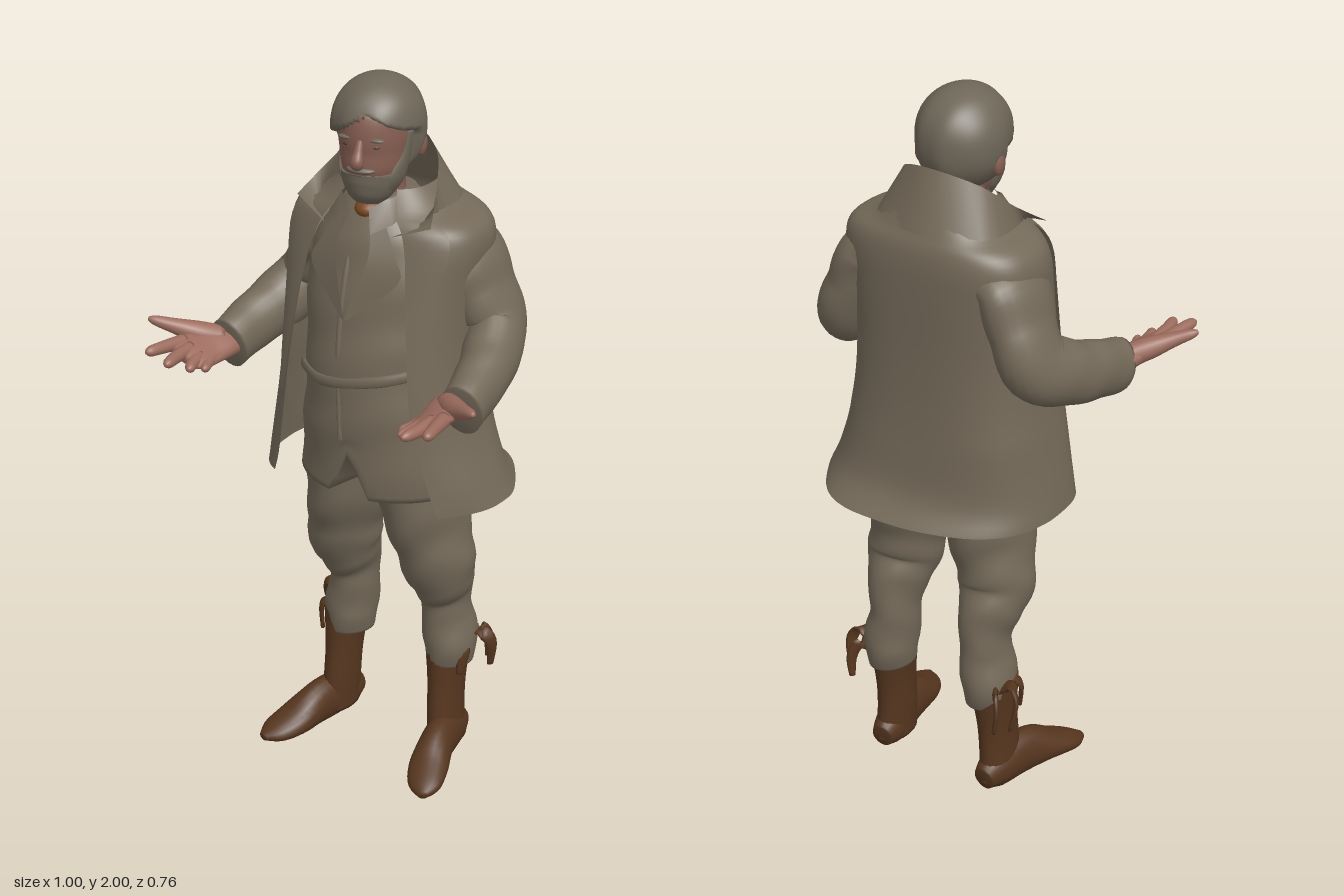
import * as THREE from 'three';

const mat = (name, color, side = THREE.FrontSide) =>
  Object.assign(new THREE.MeshStandardMaterial({ color, side }), { name });
const power = (v, p) => Math.sign(v) * Math.abs(v) ** p;
const span = (a, b, n, fn) => Array.from({ length: n + 1 }, (_, i) => fn(a + (b - a) * i / n));

// Smooth interpolation through the rows of a small table, t from 0 to 1
function sample(rows, t) {
  const n = rows.length - 1;
  const i = Math.min(Math.floor(t * n), n - 1), f = t * n - i;
  const at = k => rows[Math.max(0, Math.min(n, k))];
  return rows[0].map((_, c) => {
    const [a, b, d, e] = [at(i - 1)[c], at(i)[c], at(i + 1)[c], at(i + 2)[c]];
    return b + 0.5 * f * (d - a + f * (2 * a - 5 * b + 4 * d - e + f * (3 * (b - d) + e - a)));
  });
}

// Surface through rings of points; closed rings also get end caps
function skin(rings, closed) {
  const n = rings[0].length, pos = rings.flat(2), index = [];
  for (let i = 0; i < rings.length - 1; i++) {
    for (let j = 0; j < (closed ? n : n - 1); j++) {
      const a = i * n + j, b = i * n + (j + 1) % n;
      index.push(a, b, b + n, a, b + n, a + n);
    }
  }
  for (const r of closed ? [0, rings.length - 1] : []) {
    const c = pos.length / 3;
    for (let k = 0; k < 3; k++) pos.push(rings[r].reduce((s, p) => s + p[k], 0) / n);
    for (let j = 0; j < n; j++) {
      const a = r * n + j, b = r * n + (j + 1) % n;
      index.push(c, ...(r ? [a, b] : [b, a]));
    }
  }
  const g = new THREE.BufferGeometry();
  g.setAttribute('position', new THREE.Float32BufferAttribute(pos, 3));
  g.setIndex(index);
  g.computeVertexNormals();
  return g;
}

// Tapered body along a path: rows are [x, y, z, sideRadius, otherRadius]
function limb(rows, { side = [1, 0, 0], steps = 20, n = 18, fold = 0, flip = null, edit = null } = {}) {
  let path = rows.map(r => [r[0], r[1], r[2], r[3], r[4] ?? r[3]]);
  const s0 = new THREE.Vector3(...side);
  if (flip !== null) {
    path = path.map(([x, ...rest]) => [flip - x, ...rest]);
    s0.x *= -1;
  }
  return skin(span(0, 1, steps, t => {
    const p = sample(path, t);
    const a = sample(path, Math.max(0, t - 0.02)), b = sample(path, Math.min(1, t + 0.02));
    const dir = new THREE.Vector3(b[0] - a[0], b[1] - a[1], b[2] - a[2]).normalize();
    const s = s0.clone().addScaledVector(dir, -s0.dot(dir)).normalize();
    const u = dir.clone().cross(s);
    return span(0, 2 * Math.PI * (1 - 1 / n), n - 1, w => {
      const k = 1 + fold * Math.sin(t * 34 + 1.6 * Math.sin(w * 2));
      const q = new THREE.Vector3(p[0], p[1], p[2])
        .addScaledVector(s, p[3] * k * Math.cos(w)).addScaledVector(u, p[4] * k * Math.sin(w));
      if (edit) edit(q);
      return q.toArray();
    });
  }), true);
}

export function createModel() {
  const model = new THREE.Group();
  const cloth = mat('taupe cloth', 0x746959, THREE.DoubleSide);
  const hairMat = mat('grey brown hair', 0x6e6658);
  const skinMat = mat('skin', 0x9c6c5e);
  const faceMat = mat('weathered face', 0x875f52);
  const leather = mat('brown leather', 0x56361f);
  const rust = mat('rust scarf', 0x7a4822);
  const dark = mat('dark eyes', 0x4a382f);
  const add = (name, geo, material, parent = model) => {
    const m = new THREE.Mesh(geo, material);
    m.name = name;
    parent.add(m);
  };
  const group = name => {
    const g = new THREE.Group();
    g.name = name;
    model.add(g);
    return g;
  };
  const ball = (name, x, y, z, rx, ry, rz, material, parent) =>
    add(name, new THREE.SphereGeometry(1, 24, 16).scale(rx, ry, rz).translate(x, y, z), material, parent);

  // Long coat, open at the front: y, centre x, half width, back z, front z, opening angle
  const coat = [
    [0.87, 0.035, 0.34, -0.378, 0.13, 137], [0.94, 0.03, 0.322, -0.325, 0.125, 139],
    [1.07, 0.02, 0.29, -0.305, 0.125, 140], [1.2, 0.018, 0.27, -0.294, 0.12, 141],
    [1.34, 0.018, 0.262, -0.29, 0.1, 144], [1.48, 0.02, 0.268, -0.292, 0.07, 150],
    [1.58, 0.024, 0.275, -0.292, 0.045, 155], [1.635, 0.026, 0.25, -0.284, 0.03, 157],
    [1.67, 0.02, 0.175, -0.268, 0.01, 155], [1.72, 0.02, 0.12, -0.245, -0.02, 150]];
  const coatRing = (t, from, to, n, scale = 1) => {
    const [y, cx, rx, back, front, deg] = sample(coat, t);
    const flare = Math.max(0, 1 - t * 4), turn = THREE.MathUtils.degToRad(deg);
    return span(turn * from, turn * to, n, w => {
      const hem = scale * (1 + 0.025 * flare * Math.sin(w * 5)), c = Math.cos(w);
      return [cx + rx * hem * power(Math.sin(w), 0.76) + 0.03 * flare * Math.max(0, c), y,
        (back + front) / 2 - (front - back) / 2 * hem * power(c, c > 0 ? 0.74 + 0.5 * flare : 0.78)];
    });
  };
  add('coat', skin(span(0, 1, 40, t => coatRing(t, -1, 1, 56)), false), cloth);
  for (const s of [-1, 1]) {
    add('lapel', skin(span(0.28, 0.86, 14, t =>
      coatRing(t, s * (0.99 - 0.2 * Math.sin((t - 0.28) * 2.4)), s * 1.02, 6, 1.045)), false), cloth);
  }

  // Turned-up collar: high at the nape, falling to wide points
  const collarTop = [[-0.192, 1.655, 0], [-0.155, 1.72, -0.09], [-0.1, 1.79, -0.165], [0.02, 1.825, -0.212],
    [0.125, 1.79, -0.165], [0.175, 1.725, -0.085], [0.222, 1.66, 0.02]];
  const collarBase = [[-0.08, 1.62, 0.045], [-0.16, 1.65, -0.07], [-0.14, 1.665, -0.215], [0.02, 1.67, -0.272],
    [0.18, 1.665, -0.215], [0.195, 1.65, -0.07], [0.115, 1.62, 0.045]];
  add('coatCollar', skin([collarBase, collarTop].map(r => span(0, 1, 30, t => sample(r, t))), false), cloth);

  // Inner jacket with a notch at the front of its hem
  add('jacket', limb([
    [0.02, 1.69, -0.1, 0.07, 0.09], [0.02, 1.61, -0.095, 0.15, 0.13], [0.02, 1.5, -0.085, 0.2, 0.155],
    [0.02, 1.35, -0.08, 0.205, 0.18], [0.025, 1.2, -0.075, 0.205, 0.195], [0.03, 1.05, -0.08, 0.225, 0.2],
    [0.03, 0.88, -0.08, 0.235, 0.19]], { steps: 44, n: 48, fold: 0.012, edit: q => {
    if (q.z > 0 && q.y < 1.05) {
      q.y += Math.max(0, 0.13 - Math.abs(q.x - 0.035) * 2.4) * Math.min(1, (1.05 - q.y) / 0.15);
    }
  } }), cloth);
  add('jacketPlacket', limb([[0, 1.6, 0.033, 0.008, 0.006], [0, 1.48, 0.075, 0.008, 0.006],
    [0, 1.3, 0.105, 0.008, 0.006], [0.015, 1.05, 0.121, 0.008, 0.006]], { n: 8 }), cloth);
  add('waistFold', limb([[-0.15, 1.2, 0.045, 0.016, 0.006], [-0.07, 1.2, 0.1, 0.016, 0.006], [0.02, 1.215, 0.117, 0.016, 0.006],
    [0.12, 1.235, 0.095, 0.016, 0.006], [0.19, 1.25, 0.04, 0.016, 0.006]], { side: [0, 1, 0], n: 8 }), cloth);
  for (const s of [-1, 1]) {
    const x = v => 0.015 + s * v;
    add('jacketLapel', skin([
      [[x(0.055), 1.67, 0.01], [x(0.11), 1.57, 0.035], [x(0.13), 1.5, 0.05], [x(0.01), 1.39, 0.1]],
      [[x(0.03), 1.66, 0.025], [x(0.05), 1.57, 0.06], [x(0.035), 1.5, 0.08], [x(0), 1.39, 0.103]]
    ].map(r => span(0, 1, 12, t => sample(r, t))), false), cloth);
    add('shirtCollar', skin([
      [[x(0.075), 1.71, -0.07], [x(0.07), 1.695, 0], [x(0.03), 1.68, 0.03]],
      [[x(0.1), 1.66, -0.06], [x(0.095), 1.645, 0.02], [x(0.05), 1.62, 0.055]]], false), cloth);
  }
  ball('scarf', 0.018, 1.66, -0.025, 0.04, 0.028, 0.05, rust);

  // Arms: bent sleeves and open hands with palms up
  for (const left of [false, true]) {
    const tag = left ? 'left' : 'right';
    add(tag + 'Sleeve', limb([
      [-0.12, 1.56, -0.145, 0.05, 0.11], [-0.188, 1.53, -0.15, 0.075, 0.126], [-0.228, 1.44, -0.165, 0.076, 0.112],
      [-0.272, 1.345, -0.165, 0.077, 0.098], [-0.308, 1.29, -0.07, 0.074, 0.086], [-0.328, 1.26, 0.03, 0.064, 0.079],
      [-0.337, 1.235, 0.12, 0.057, 0.074]], { steps: 40, n: 24, fold: 0.015, flip: left ? 0.04 : null }), cloth);
    const hand = group(tag + 'Hand');
    hand.position.z = left ? 0.012 : 0;
    const opt = { side: [1, -0.45, 0], flip: left ? 0 : null, n: 14, steps: 16 };
    add('palm', limb([[-0.34, 1.24, 0.06, 0.045, 0.035], [-0.345, 1.247, 0.13, 0.052, 0.032],
      [-0.36, 1.25, 0.19, 0.062, 0.026], [-0.365, 1.255, 0.25, 0.064, 0.02],
      [-0.365, 1.257, 0.285, 0.05, 0.012]], opt), skinMat, hand);
    const finger = (...rows) => add('finger', limb(rows, opt), skinMat, hand);
    finger([-0.4, 1.272, 0.23, 0.02], [-0.414, 1.28, 0.3, 0.017], [-0.423, 1.284, 0.345, 0.014], [-0.426, 1.285, 0.36, 0.005]);
    finger([-0.374, 1.262, 0.24, 0.02], [-0.37, 1.266, 0.31, 0.017], [-0.363, 1.268, 0.35, 0.014], [-0.36, 1.268, 0.366, 0.005]);
    finger([-0.345, 1.248, 0.24, 0.018], [-0.335, 1.246, 0.285, 0.016], [-0.327, 1.245, 0.307, 0.013], [-0.324, 1.245, 0.32, 0.005]);
    finger([-0.33, 1.238, 0.2, 0.018], [-0.314, 1.234, 0.25, 0.014], [-0.306, 1.235, 0.27, 0.012], [-0.304, 1.236, 0.282, 0.004]);
    finger([-0.35, 1.258, 0.13, 0.03], [-0.395, 1.277, 0.175, 0.03], [-0.445, 1.3, 0.215, 0.02],
      [-0.483, 1.316, 0.242, 0.013], [-0.497, 1.322, 0.252, 0.005]);

    // Baggy trousers, boots and hanging boot straps
    const flip = left ? 0.03 : null;
    add(tag + 'Trouser', limb([
      [-0.075, 0.98, -0.1, 0.13, 0.15], [-0.085, 0.87, -0.102, 0.12, 0.155], [-0.098, 0.77, -0.105, 0.108, 0.14],
      [-0.115, 0.69, -0.112, 0.102, 0.122], [-0.125, 0.62, -0.122, 0.101, 0.108], [-0.126, 0.56, -0.148, 0.087, 0.1],
      [-0.124, 0.5, -0.168, 0.068, 0.088], [-0.126, 0.43, -0.172, 0.066, 0.082], [-0.138, 0.35, -0.175, 0.073, 0.088],
      [-0.138, 0.28, -0.172, 0.062, 0.074]], { steps: 60, n: 24, fold: 0.025, flip: left ? 0.05 : null }), cloth);
    add(tag + 'BootShaft', limb([
      [-0.152, 0.35, -0.175, 0.062, 0.08], [-0.155, 0.22, -0.162, 0.048, 0.07], [-0.158, 0.12, -0.155, 0.045, 0.072],
      [-0.163, 0.02, -0.155, 0.044, 0.078]], { n: 20, flip }), leather);
    add(tag + 'BootFoot', limb([
      [-0.158, 0.04, -0.232, 0.03, 0.035], [-0.163, 0.05, -0.18, 0.045, 0.06], [-0.183, 0.055, -0.07, 0.046, 0.068],
      [-0.208, 0.035, 0.02, 0.056, 0.042], [-0.235, 0.02, 0.085, 0.045, 0.025], [-0.25, 0.015, 0.122, 0.014, 0.01]],
    { steps: 26, n: 20, flip, edit: q => { q.y = Math.max(0, q.y); } }), leather);
    const strap = (...rows) => add(tag + 'BootStrap', limb(rows, { side: [0.6, 0, 0.8], n: 8, flip, steps: 14 }), leather);
    strap([-0.19, 0.34, -0.2, 0.022, 0.007], [-0.235, 0.365, -0.21, 0.022, 0.007], [-0.26, 0.33, -0.225, 0.017, 0.007],
      [-0.25, 0.25, -0.24, 0.01, 0.006]);
    strap([-0.185, 0.33, -0.22, 0.02, 0.007], [-0.21, 0.35, -0.25, 0.02, 0.007], [-0.226, 0.31, -0.27, 0.016, 0.007],
      [-0.222, 0.25, -0.276, 0.009, 0.006]);
    strap([-0.195, 0.35, -0.15, 0.022, 0.007], [-0.218, 0.33, -0.14, 0.022, 0.007], [-0.212, 0.26, -0.135, 0.01, 0.006]);
  }

  // Head, turned slightly to its left
  const head = group('head');
  head.position.set(0.01, 0, -0.07);
  head.rotation.y = 0.18;
  add('neck', limb([[0, 1.78, -0.02, 0.065], [0, 1.7, -0.025, 0.062], [0.005, 1.6, -0.03, 0.07]]), faceMat, head);
  add('face', limb([[0, 1.96, 0.01, 0.04, 0.05], [0, 1.93, 0.012, 0.08, 0.1], [0, 1.88, 0.018, 0.092, 0.112],
    [0, 1.82, 0.02, 0.088, 0.108], [0, 1.76, 0.03, 0.077, 0.1], [0, 1.71, 0.045, 0.05, 0.07]], { n: 28 }), faceMat, head);
  add('nose', limb([[0, 1.868, 0.123, 0.01], [0, 1.84, 0.135, 0.013], [0, 1.813, 0.146, 0.018, 0.016],
    [0, 1.8, 0.13, 0.012, 0.008]], { n: 12 }), faceMat, head);
  add('beard', limb([[0, 1.79, 0.045, 0.055, 0.078], [0, 1.765, 0.043, 0.075, 0.094], [0, 1.73, 0.052, 0.07, 0.086],
    [0, 1.7, 0.062, 0.054, 0.068], [0, 1.68, 0.068, 0.03, 0.04]], { n: 28 }), hairMat, head);
  ball('moustache', 0, 1.787, 0.112, 0.04, 0.011, 0.025, hairMat, head);
  for (const s of [-1, 1]) {
    ball('ear', s * 0.105, 1.82, -0.03, 0.015, 0.034, 0.022, faceMat, head);
    ball('eye', s * 0.036, 1.851, 0.113, 0.014, 0.005, 0.008, dark, head);
    ball('brow', s * 0.038, 1.87, 0.115, 0.024, 0.006, 0.011, hairMat, head);
    add('sideburn', limb([[s * 0.088, 1.87, 0.01, 0.012, 0.02], [s * 0.082, 1.81, 0.02, 0.012, 0.028],
      [s * 0.068, 1.75, 0.045, 0.014, 0.045], [s * 0.045, 1.71, 0.06, 0.012, 0.025]], { n: 12 }), hairMat, head);
  }

  // Swept hair: full at the nape, drawn in below a parted hairline
  const hair = new THREE.SphereGeometry(1, 64, 48), p = hair.attributes.position;
  for (let i = 0; i < p.count; i++) {
    const wave = 1 + 0.012 * Math.sin(p.getX(i) * 9 + p.getZ(i) * 5);
    const x = p.getX(i) * 0.12 * wave, y = power(p.getY(i), 0.88) * 0.133, z = p.getZ(i) * 0.138 * wave;
    const below = THREE.MathUtils.smoothstep(0.063 - 0.55 * Math.abs(x - 0.025) - y, 0, 0.012);
    const shrink = 1 - 0.4 * below * THREE.MathUtils.smoothstep(z, 0.005, 0.03);
    p.setXYZ(i, x * shrink, 1.867 + y, z * shrink - 0.004);
  }
  hair.computeVertexNormals();
  add('hair', hair, hairMat, head);
  return model;
}
